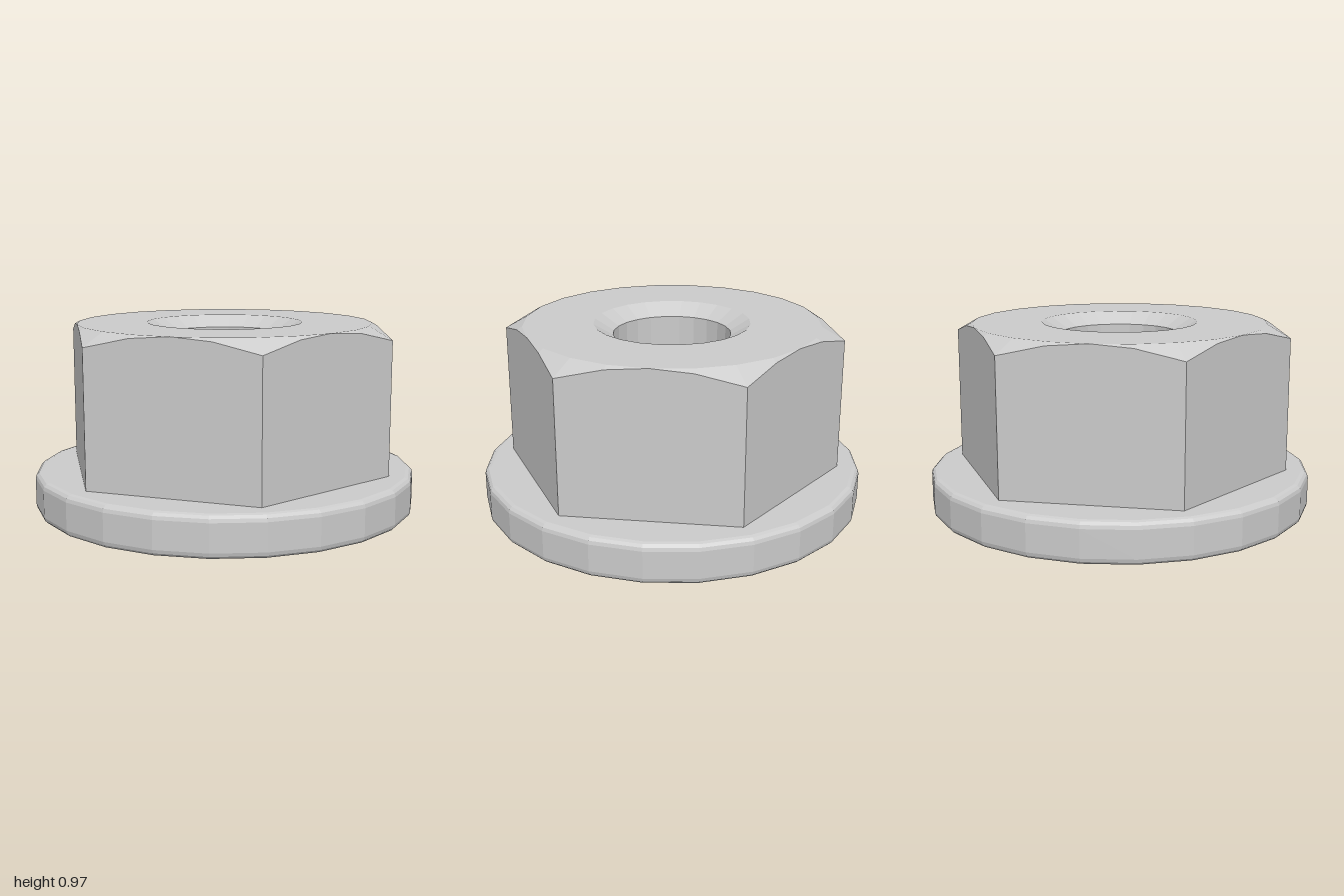
import * as THREE from 'three';

const SIDES = 24;
const HOLE = 0.305, COUNTERSINK = 0.405, SINK_DEPTH = 0.06;
const APOTHEM = 0.767, TOP = 0.973, FLANGE_R = 1, FLANGE_TOP = 0.21;
const material = new THREE.MeshStandardMaterial({ color: 0xcccccc, flatShading: true });

// Faceted solid of revolution from [radius, height] pairs, outside running upwards
function lathe(profile) {
  return new THREE.LatheGeometry(profile.map(([r, y]) => new THREE.Vector2(r, y)), SIDES);
}

function part(name, geometry) {
  const flat = geometry.toNonIndexed();
  flat.computeVertexNormals();
  const mesh = new THREE.Mesh(flat, material);
  mesh.name = name;
  return mesh;
}

// Quarter-round corner points of the flange rim
function corner(cy, from, radius) {
  const points = [];
  for (let i = 0; i <= 3; i++) {
    const a = from + (i / 3) * Math.PI / 2;
    points.push([FLANGE_R - radius + radius * Math.cos(a), cy + radius * Math.sin(a)]);
  }
  return points;
}

// Round washer flange with rounded rim
function flange() {
  const f = 0.035;
  return lathe([
    [COUNTERSINK, 0],
    ...corner(f, -Math.PI / 2, f),
    ...corner(FLANGE_TOP - f, 0, f),
    [0.7, FLANGE_TOP],
  ]);
}

// Hexagonal body: the outer rings are pushed out to the hexagon,
// and its upper edge follows a 30 degree cone that trims the corners
function hexBody() {
  const geometry = lathe([
    [1, FLANGE_TOP - 0.01], [1, TOP], [APOTHEM, TOP], [COUNTERSINK, TOP],
  ]);
  const p = geometry.attributes.position;
  const ring = 4;
  for (let i = 0; i < p.count; i++) {
    const level = i % ring;
    if (level > 1) continue;
    const phi = Math.floor(i / ring) * 2 * Math.PI / SIDES;
    const off = phi - Math.round(phi / (Math.PI / 3)) * Math.PI / 3;
    const r = APOTHEM / Math.cos(off);
    const y = level === 0 ? p.getY(i) : TOP - (r - APOTHEM) * Math.tan(Math.PI / 6);
    p.setXYZ(i, r * Math.sin(phi), y, r * Math.cos(phi));
  }
  return geometry;
}

// Through hole, countersunk at both ends
function bore() {
  return lathe([
    [COUNTERSINK, TOP], [HOLE, TOP - SINK_DEPTH], [HOLE, SINK_DEPTH], [COUNTERSINK, 0],
  ]);
}

export function createModel() {
  const model = new THREE.Group();
  model.name = 'flangeNut';
  model.add(part('flange', flange()), part('hexBody', hexBody()), part('bore', bore()));
  return model;
}
